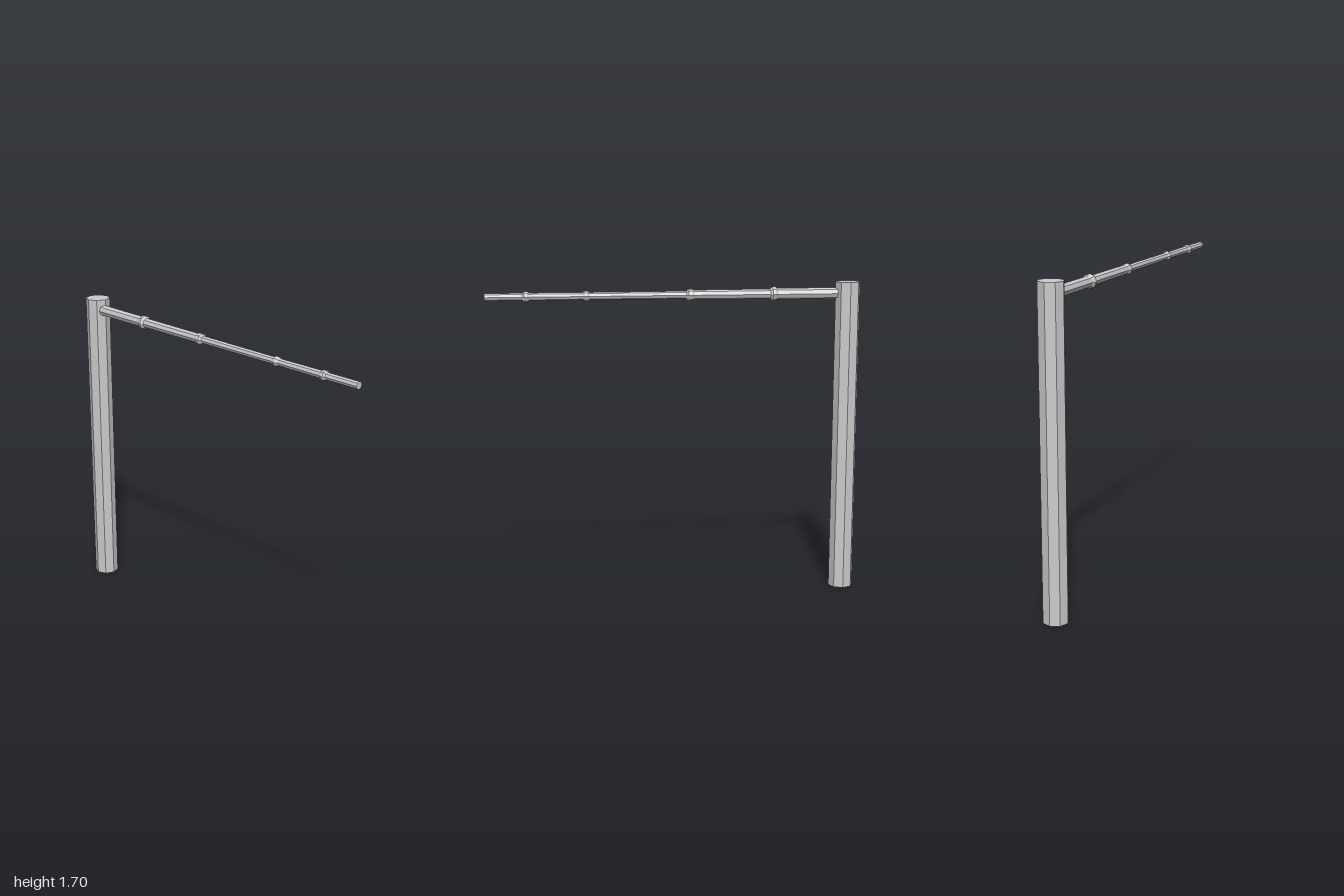
import * as THREE from 'three';

const SIDES = 8;

export function createModel() {
  const group = new THREE.Group();
  const material = new THREE.MeshStandardMaterial({ color: 0xcccccc, flatShading: true });

  // upright octagonal post at the back
  const postHeight = 1.695, postRadius = 0.067, postZ = -0.933;
  const post = new THREE.Mesh(
    new THREE.CylinderGeometry(postRadius, postRadius, postHeight, SIDES), material);
  post.name = 'post';
  post.position.set(0, postHeight / 2, postZ);
  group.add(post);

  // jointed arm: [z, radius before, collar radius, radius after, collar half width]
  const joints = [
    [-0.53, 0.03, 0.038, 0.027, 0.02],
    [-0.08, 0.026, 0.031, 0.021, 0.022],
    [0.47, 0.02, 0.027, 0.02, 0.018],
    [0.785, 0.021, 0.028, 0.02, 0.018],
  ];
  const profile = [[0, -0.9], [0.031, -0.9]];
  for (const [z, before, collar, after, half] of joints) {
    profile.push([before, z - half], [collar, z - half * 0.4],
      [collar, z + half * 0.4], [after, z + half]);
  }
  profile.push([0.02, 1], [0, 1]);

  const armGeometry = new THREE.LatheGeometry(
    profile.map(([r, z]) => new THREE.Vector2(r, z)), SIDES);
  armGeometry.rotateX(Math.PI / 2);
  const arm = new THREE.Mesh(armGeometry, material);
  arm.name = 'jointedArm';
  arm.position.set(-0.005, 1.633, 0);
  group.add(arm);

  return group;
}
